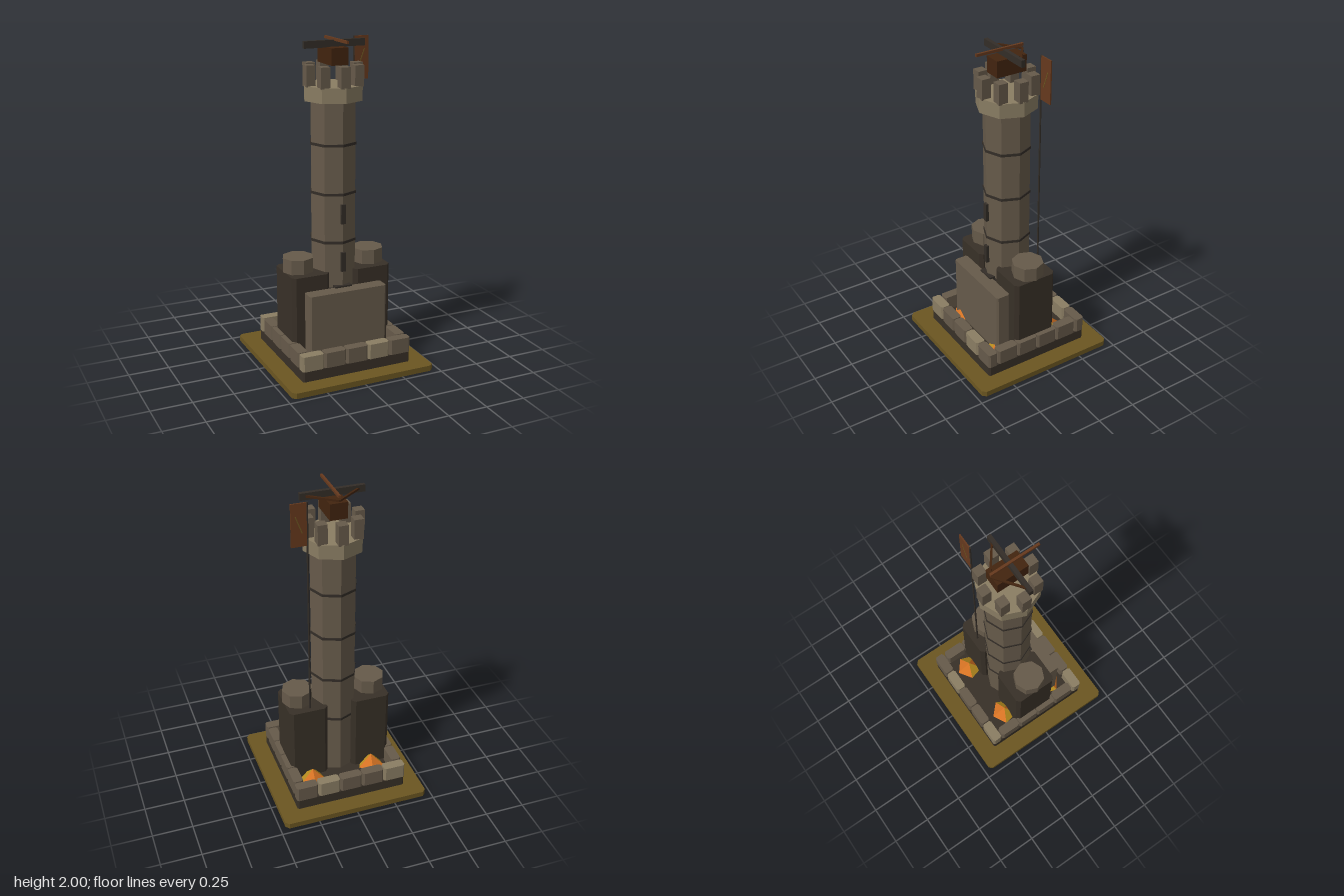
import * as THREE from 'three';

const mat = (name, color) => {
  const m = new THREE.MeshStandardMaterial({ color });
  m.name = name;
  return m;
};

export function createModel() {
  const root = new THREE.Group();
  root.name = 'watchtower';

  const earth = mat('earth', 0x6b5621);
  const darkStone = mat('dark stone', 0x383027);
  const stone = mat('stone', 0x665a4a);
  const paleStone = mat('pale stone', 0x8a7d63);
  const iron = mat('iron', 0x332d27);
  const timber = mat('dark timber', 0x42240f);
  const wood = mat('red wood', 0x66391d);
  const ember = mat('ember', 0xd87424);
  const gold = mat('gold', 0xb98e1f);

  const add = (name, geometry, material, x = 0, y = 0, z = 0) => {
    const mesh = new THREE.Mesh(geometry, material);
    mesh.name = name;
    mesh.position.set(x, y, z);
    root.add(mesh);
    return mesh;
  };
  const box = (name, m, w, h, d, x, y, z) =>
    add(name, new THREE.BoxGeometry(w, h, d), m, x, y + h / 2, z);

  // Block with clipped vertical edges, standing on y
  const block = (name, m, w, h, d, c, x, y, z) => {
    const a = w / 2, b = d / 2;
    const shape = new THREE.Shape([
      [-a + c, -b], [a - c, -b], [a, -b + c], [a, b - c],
      [a - c, b], [-a + c, b], [-a, b - c], [-a, -b + c],
    ].map(([px, py]) => new THREE.Vector2(px, py)));
    const g = new THREE.ExtrudeGeometry(shape, { depth: h, bevelEnabled: false });
    g.rotateX(-Math.PI / 2);
    return add(name, g, m, x, y, z);
  };

  // Faceted prism or cone with flat faces, standing on y
  const prism = (name, m, rTop, rBottom, h, sides, x, y, z) => {
    const g = new THREE.CylinderGeometry(rTop, rBottom, h, sides).toNonIndexed();
    g.computeVertexNormals();
    return add(name, g, m, x, y + h / 2, z);
  };

  // Ground and plinth
  block('ground', earth, 0.93, 0.035, 0.93, 0.022, 0, 0, 0);
  block('plinth', darkStone, 0.71, 0.065, 0.71, 0.01, 0, 0.035, 0);

  // Ring of kerb stones
  const step = 0.1443;
  for (const side of [-1, 1]) {
    for (let i = 0; i < 5; i++) {
      block('kerbStone', i % 3 === 0 ? paleStone : stone,
        0.138, 0.095, 0.062, 0.011, (i - 2) * step, 0.1, side * 0.326);
    }
    for (let i = 0; i < 4; i++) {
      block('kerbStone', stone, 0.062, 0.095, 0.138, 0.011,
        side * 0.326, 0.1, (i - 1.5) * step);
    }
  }

  // Central tower with bands, gate and arrow slits
  prism('towerShaft', stone, 0.142, 0.142, 1.54, 8, 0, 0.1, 0);
  for (const y of [0.495, 0.79, 1.088, 1.385]) {
    prism('towerBand', iron, 0.147, 0.147, 0.016, 8, 0, y - 0.008, 0);
  }
  box('gate', iron, 0.11, 0.42, 0.04, 0, 0.1, 0.138);
  for (const y of [0.61, 0.91]) box('arrowSlit', iron, 0.028, 0.12, 0.03, 0, y, 0.14);

  // Flanking keeps with round caps
  for (const side of [-1, 1]) {
    block('keep', darkStone, 0.245, 0.505, 0.285, 0.022, side * 0.203, 0.1, -0.002);
    prism('keepCap', stone, 0.098, 0.098, 0.09, 8, side * 0.235, 0.605, 0);
  }
  block('frontWall', stone, 0.506, 0.41, 0.09, 0.01, 0, 0.1, 0.185);

  // Battlement
  prism('platform', paleStone, 0.185, 0.183, 0.09, 8, 0, 1.64, 0);
  for (let i = 0; i < 8; i++) {
    const a = i * Math.PI / 4;
    box('merlon', stone, 0.058, 0.125, 0.058, Math.sin(a) * 0.152, 1.725, Math.cos(a) * 0.152);
  }

  // Giant crossbow on the roof
  box('crossbowBase', timber, 0.107, 0.1, 0.197, 0, 1.85, -0.002);
  box('crossbowArm', iron, 0.386, 0.042, 0.024, 0, 1.947, 0.015);
  box('crossbowBolt', wood, 0.014, 0.016, 0.31, 0, 1.984, 0.046);
  for (const side of [-1, 1]) {
    const start = new THREE.Vector3(0, 1.968, -0.108);
    const end = new THREE.Vector3(side * 0.155, 1.968, 0.008);
    const string = add('crossbowString', new THREE.BoxGeometry(0.012, 0.012, start.distanceTo(end)), timber);
    string.position.copy(start).lerp(end, 0.5);
    string.lookAt(end);
  }

  // Flag with a slanted stripe on both sides
  prism('flagPole', iron, 0.006, 0.006, 1.4, 6, 0.187, 0.59, -0.107);
  box('flag', wood, 0.094, 0.262, 0.008, 0.236, 1.727, -0.107);
  const stripe = box('flagStripe', earth, 0.006, 0.11, 0.011, 0.237, 1.805, -0.107);
  stripe.rotation.z = -0.36;

  // Faceted ember heaps in the courtyard
  const heaps = [[-0.2, -0.165, 3.0], [0.2, -0.183, 3.1], [-0.2, 0.19, 0], [0.212, 0.185, 1.4]];
  for (const [x, z, turn] of heaps) {
    const heap = prism('emberHeap', [ember, gold], 0, 0.085, 0.08, 5, x, 0.1, z);
    heap.geometry.clearGroups();
    for (let i = 0; i < 10; i++) heap.geometry.addGroup(i * 3, 3, i % 2);
    heap.rotation.y = turn;
  }

  return root;
}
